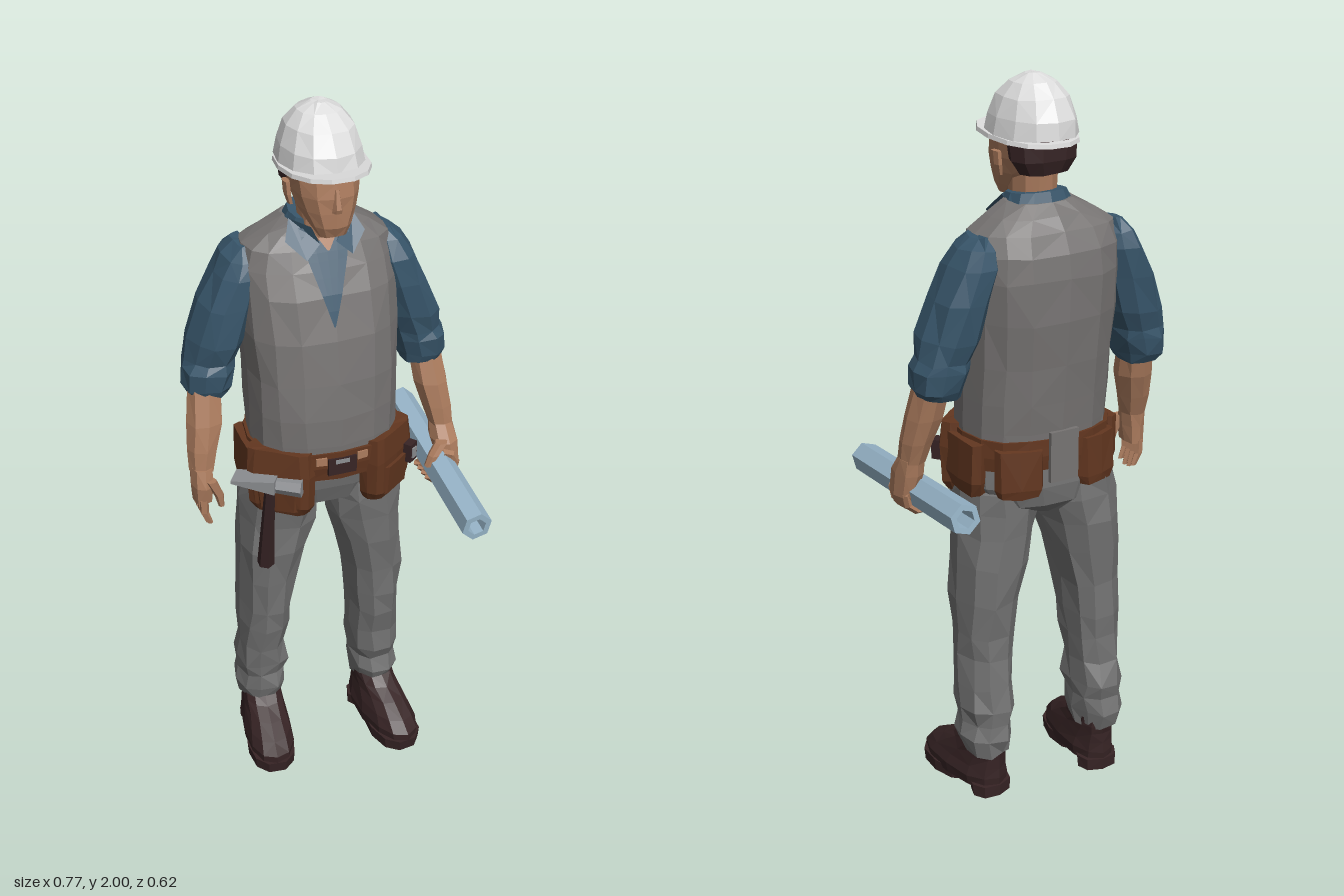
import * as THREE from 'three';

const mat = (name, color) => Object.assign(new THREE.MeshStandardMaterial({ color }), { name });
const M = {
  skin: mat('skin', 0xac7c5e), shirt: mat('blueShirt', 0x38566b), vest: mat('greyVest', 0x777473),
  pants: mat('greyTrousers', 0x737373), leather: mat('brownLeather', 0x633720), dark: mat('darkBrown', 0x372425),
  helmet: mat('whitePlastic', 0xdddddd), paper: mat('bluePaper', 0x98b6ca), metal: mat('steel', 0x8d8f92),
};
M.shirt.side = THREE.DoubleSide;
M.skin.side = THREE.DoubleSide;

let seed = 7;
const rand = () => ((seed = (seed * 16807) % 2147483647) / 2147483647) - 0.5;

// Facet a geometry and add it as a named mesh
function add(parent, name, geo, material, pos = [0, 0, 0], rot = [0, 0, 0]) {
  const g = geo.index ? geo.toNonIndexed() : geo;
  g.computeVertexNormals();
  const mesh = new THREE.Mesh(g, material);
  mesh.name = name;
  mesh.position.set(...pos);
  mesh.rotation.set(...rot);
  parent.add(mesh);
  return mesh;
}

// Stack of level rings [y, centreX, radiusX, backZ, frontZ, tilt], closed at both ends
function loft(rings, { n = 10, e = 0.85, jitter = 0.006, s = 1, dz = 0 } = {}) {
  const rs = [...rings].sort((a, b) => a[0] - b[0]);
  const pos = [], idx = [];
  const pw = (v) => Math.sign(v) * Math.abs(v) ** e;
  for (const [y, cx, rx, zb, zf, tilt = 0] of rs) {
    for (let i = 0; i < n; i++) {
      const a = (i / n) * Math.PI * 2;
      const z = pw(Math.sin(a)) * (zf - zb) / 2;
      pos.push(s * cx + pw(Math.cos(a)) * rx + rand() * jitter,
        y + z * tilt + (y > 0.01 ? rand() * jitter : 0), (zb + zf) / 2 + dz + z + rand() * jitter);
    }
  }
  for (let r = 0; r < rs.length - 1; r++) {
    for (let i = 0; i < n; i++) {
      const a = r * n + i, b = r * n + (i + 1) % n;
      if ((r + i) % 2) idx.push(a, a + n, b + n, a, b + n, b);
      else idx.push(a, a + n, b, a + n, b + n, b);
    }
  }
  const top = (rs.length - 1) * n, c = rs.length * n;
  for (const r of [rs[0], rs[rs.length - 1]]) pos.push(s * r[1], r[0], (r[3] + r[4]) / 2 + dz);
  for (let i = 0; i < n; i++) {
    const j = (i + 1) % n;
    idx.push(c, i, j, c + 1, top + j, top + i);
  }
  const g = new THREE.BufferGeometry();
  g.setAttribute('position', new THREE.Float32BufferAttribute(pos, 3));
  g.setIndex(idx);
  return g;
}

const TORSO = [
  [0.99, 0, 0.2, -0.225, 0.085], [1.1, 0, 0.203, -0.235, 0.093], [1.18, 0, 0.204, -0.242, 0.094],
  [1.28, 0, 0.205, -0.252, 0.086], [1.4, 0, 0.211, -0.262, 0.07], [1.51, 0, 0.212, -0.265, 0.038],
  [1.575, 0, 0.211, -0.255, 0.008], [1.625, 0, 0.198, -0.232, -0.015], [1.66, 0, 0.145, -0.205, -0.032],
  [1.69, 0, 0.09, -0.175, -0.042],
];
const TORSO_E = 0.78;

// Depth of the chest surface at a point
function chestZ(x, y) {
  let k = 0;
  while (k < TORSO.length - 2 && TORSO[k + 1][0] < y) k++;
  const A = TORSO[k], B = TORSO[k + 1], t = Math.min(1, (y - A[0]) / (B[0] - A[0]));
  const [, , rx, zb, zf] = A.map((v, i) => v + (B[i] - v) * t);
  const u = Math.min(1, Math.abs(x / rx));
  return (zb + zf) / 2 + (zf - zb) / 2 * (1 - u ** (2 / TORSO_E)) ** (TORSO_E / 2);
}

// Thin cloth patch lying on the chest; rows [y, x0, x1] run downwards
function patch(rows, lift) {
  const pos = [], idx = [], cols = 4, sub = 4, all = [];
  for (let r = 0; r < rows.length - 1; r++) {
    for (let k = r ? 1 : 0; k <= sub; k++) all.push(rows[r].map((v, i) => v + (rows[r + 1][i] - v) * k / sub));
  }
  all.forEach(([y, x0, x1], r) => {
    for (let c = 0; c <= cols; c++) {
      const x = x0 + (x1 - x0) * c / cols;
      pos.push(x, y, chestZ(x, y) + lift);
      if (r && c) {
        const d = r * (cols + 1) + c, u = d - cols - 1;
        idx.push(u - 1, d - 1, d, u - 1, d, u);
      }
    }
  });
  const g = new THREE.BufferGeometry();
  g.setAttribute('position', new THREE.Float32BufferAttribute(pos, 3));
  g.setIndex(idx);
  return g;
}

const box = (x, y, z) => new THREE.BoxGeometry(x, y, z);

function buildHead(g) {
  add(g, 'neck', loft([[1.6, 0, 0.065, -0.15, -0.03], [1.68, 0, 0.057, -0.145, -0.015], [1.78, 0, 0.06, -0.15, -0.01]]), M.skin);
  add(g, 'head', loft([
    [1.682, 0, 0.036, -0.01, 0.042], [1.71, 0, 0.055, -0.07, 0.056], [1.75, 0, 0.074, -0.13, 0.057],
    [1.79, 0, 0.084, -0.165, 0.058], [1.83, 0, 0.089, -0.175, 0.052], [1.87, 0, 0.088, -0.175, 0.04],
  ], { n: 12, jitter: 0.003 }), M.skin);
  add(g, 'nose', loft([[1.755, 0, 0.014, 0.04, 0.068], [1.766, 0, 0.012, 0.04, 0.072], [1.815, 0, 0.007, 0.04, 0.058]], { n: 6, jitter: 0 }), M.skin);
  add(g, 'hair', loft([[1.76, 0, 0.066, -0.175, -0.085], [1.795, 0, 0.091, -0.188, -0.065], [1.845, 0, 0.094, -0.19, -0.05]], { jitter: 0.003 }), M.dark);
  for (const s of [1, -1]) {
    add(g, 'ear', loft([[1.748, 0.084, 0.007, -0.07, -0.045], [1.775, 0.091, 0.009, -0.078, -0.04], [1.81, 0.094, 0.009, -0.078, -0.04]], { n: 6, s, jitter: 0 }), M.skin);
  }
  // Hard hat
  add(g, 'helmetDome', loft([
    [1.85, 0, 0.109, -0.208, 0.062], [1.895, 0, 0.102, -0.202, 0.052], [1.945, 0, 0.084, -0.178, 0.022],
    [1.98, 0, 0.056, -0.143, -0.02], [1.999, 0, 0.02, -0.1, -0.055],
  ], { n: 12, e: 0.9, jitter: 0.004 }), M.helmet);
  add(g, 'helmetBrim', loft([[1.842, 0, 0.116, -0.213, 0.102, 0.06], [1.853, 0, 0.114, -0.211, 0.1, 0.06]], { n: 14, e: 0.9, jitter: 0 }), M.helmet);
}

function buildTorso(g) {
  add(g, 'vest', loft(TORSO, { n: 16, e: TORSO_E, jitter: 0.006 }), M.vest);
  add(g, 'shirtFront', patch([[1.68, -0.07, 0.07], [1.6, -0.055, 0.048], [1.44, -0.01, -0.006]], 0.005), M.shirt);
  add(g, 'openNeck', patch([[1.688, -0.045, 0.045], [1.625, -0.003, 0.003]], 0.01), M.skin);
  add(g, 'shirtCollar', loft([[1.65, 0, 0.105, -0.188, -0.032], [1.708, 0, 0.076, -0.166, -0.03, -0.1]], { n: 12, jitter: 0.002 }), M.shirt);
  for (const s of [1, -1]) {
    const pts = [[0.085, 1.7, -0.07], [0.042, 1.69, -0.018], [0.022, 1.645, -0.008], [0.062, 1.61, 0.006], [0.108, 1.655, -0.03]];
    const flap = new THREE.BufferGeometry();
    flap.setAttribute('position', new THREE.Float32BufferAttribute(pts.flatMap(([x, y, z]) => [s * x, y, z]), 3));
    flap.setIndex(s > 0 ? [0, 1, 2, 0, 2, 3, 0, 3, 4] : [0, 2, 1, 0, 3, 2, 0, 4, 3]);
    add(g, 'collarFlap', flap, M.shirt);
  }
}

// The right arm hangs a little further back than the left
function buildArm(g, s) {
  add(g, 'sleeve', loft([
    [1.625, 0.19, 0.02, -0.175, -0.08], [1.595, 0.197, 0.045, -0.205, -0.05], [1.55, 0.207, 0.062, -0.218, -0.03],
    [1.47, 0.24, 0.072, -0.22, -0.022], [1.37, 0.27, 0.075, -0.212, -0.025], [1.315, 0.288, 0.067, -0.2, -0.035],
    [1.29, 0.296, 0.073, -0.2, -0.03], [1.24, 0.305, 0.066, -0.19, -0.037], [1.215, 0.302, 0.054, -0.175, -0.045],
  ], { s, jitter: 0.009, dz: s < 0 ? -0.018 : 0 }), M.shirt);
  add(g, 'forearm', loft([
    [1.25, 0.313, 0.046, -0.15, -0.055], [1.15, 0.325, 0.049, -0.13, -0.025], [1.08, 0.338, 0.041, -0.105, -0.015],
    [1.02, 0.347, 0.033, -0.085, -0.008],
  ], { n: 8, s, jitter: 0.004, dz: s < 0 ? -0.008 : 0 }), M.skin);
}

function buildHands(g) {
  // Relaxed hand
  add(g, 'rightPalm', loft([[1.03, 0.347, 0.031, -0.09, -0.012], [0.98, 0.352, 0.03, -0.09, 0], [0.93, 0.352, 0.024, -0.088, -0.005]], { n: 8, s: -1, jitter: 0.003 }), M.skin);
  for (let i = 0; i < 4; i++) {
    const z = -0.078 + i * 0.021, tip = 0.85 + Math.abs(i - 1.6) * 0.01;
    add(g, 'finger', loft([[0.94, 0.355, 0.013, z - 0.011, z + 0.011], [0.9, 0.355, 0.012, z - 0.01, z + 0.01], [tip, 0.34, 0.008, z - 0.007, z + 0.007]], { n: 5, s: -1, jitter: 0 }), M.skin);
  }
  add(g, 'rightThumb', loft([[1.0, 0.335, 0.016, -0.03, 0.005], [0.95, 0.313, 0.013, -0.025, 0.002], [0.915, 0.308, 0.008, -0.018, -0.002]], { n: 6, s: -1, jitter: 0 }), M.skin);
  // Hand closed round the roll
  add(g, 'leftPalm', loft([[1.03, 0.347, 0.033, -0.085, -0.008], [0.985, 0.348, 0.037, -0.08, 0.025], [0.92, 0.357, 0.028, -0.065, 0.035], [0.885, 0.347, 0.025, -0.055, 0.035]], { n: 8, jitter: 0.003 }), M.skin);
  for (let i = 0; i < 4; i++) {
    add(g, 'curledFinger', new THREE.TorusGeometry(0.044, 0.013, 5, 6, 4.1), M.skin, [0.322, 0.92, -0.05 + i * 0.026], [0, 0, -2.6]);
  }
  add(g, 'leftThumb', loft([[0.995, 0.325, 0.018, 0, 0.035], [0.965, 0.298, 0.016, 0.012, 0.045], [0.935, 0.28, 0.01, 0.02, 0.045]], { n: 6, jitter: 0 }), M.skin);
}

// The left leg stands a little in front of the right
function buildLeg(g, s) {
  add(g, 'trouserLeg', loft([
    [0.93, 0.108, 0.108, -0.21, 0.034], [0.87, 0.113, 0.111, -0.215, 0.032], [0.8, 0.122, 0.104, -0.215, 0.028],
    [0.71, 0.138, 0.094, -0.212, 0.022], [0.6, 0.153, 0.081, -0.206, 0.012], [0.5, 0.161, 0.073, -0.202, 0.002],
    [0.43, 0.165, 0.073, -0.202, -0.008], [0.35, 0.168, 0.07, -0.206, -0.022], [0.28, 0.17, 0.075, -0.218, -0.026],
    [0.24, 0.171, 0.067, -0.213, -0.038], [0.19, 0.174, 0.074, -0.222, -0.034], [0.14, 0.173, 0.061, -0.208, -0.052],
  ], { s, jitter: 0.013, dz: s * 0.016 }), M.pants);
  // Boot with split heel and sole, toe turned slightly out
  const boot = new THREE.Group();
  boot.name = 'boot';
  boot.position.set(s * 0.175, 0, -0.082 + s * 0.021);
  boot.rotation.y = s * 0.12;
  g.add(boot);
  add(boot, 'bootUpper', loft([
    [0.022, 0, 0.067, -0.115, 0.2], [0.055, 0, 0.071, -0.118, 0.2], [0.085, 0, 0.065, -0.114, 0.17],
    [0.115, 0, 0.058, -0.115, 0.115], [0.14, 0, 0.057, -0.117, 0.065], [0.165, 0, 0.057, -0.115, 0.035],
  ], { n: 12, jitter: 0.004 }), M.dark);
  add(boot, 'bootSole', loft([[0, 0, 0.067, 0.0, 0.2], [0.035, 0, 0.07, -0.01, 0.205]], { jitter: 0 }), M.dark);
  add(boot, 'bootHeel', loft([[0, 0, 0.058, -0.118, -0.03], [0.035, 0, 0.06, -0.12, -0.02]], { n: 8, jitter: 0 }), M.dark);
}

function buildBelt(g) {
  add(g, 'belt', loft([[0.995, 0, 0.209, -0.234, 0.09], [1.035, 0, 0.212, -0.24, 0.097], [1.08, 0, 0.21, -0.241, 0.098]], { n: 16, e: TORSO_E, jitter: 0.004 }), M.leather);
  add(g, 'buckle', box(0.08, 0.05, 0.012), M.dark, [0, 1.04, 0.095]);
  add(g, 'buckleBar', box(0.04, 0.012, 0.006), M.metal, [0, 1.055, 0.1]);
  add(g, 'vestTail', box(0.085, 0.14, 0.012), M.vest, [0, 1.03, -0.24]);
  for (const s of [1, -1]) {
    add(g, 'beltTab', box(0.03, 0.022, 0.008), M.skin, [s * 0.058, 1.06, 0.094], [0, s * 0.15, 0]);
    const pouch = new THREE.Group();
    pouch.name = 'toolPouch';
    pouch.position.set(s * 0.153, 0, 0.034);
    pouch.rotation.y = s * 0.65;
    g.add(pouch);
    add(pouch, 'pouchBag', loft([[0.893, 0, 0.076, -0.04, 0.018], [0.92, 0, 0.09, -0.045, 0.03], [1.02, 0, 0.094, -0.045, 0.034], [1.09, 0, 0.088, -0.045, 0.03]], { n: 12, e: 0.5, jitter: 0.005 }), M.leather);
    add(pouch, 'pouchPocket', loft([[0.91, 0, 0.055, 0.015, 0.034], [1.0, 0, 0.062, 0.015, 0.043]], { n: 8, e: 0.5, jitter: 0.003 }), M.leather);
    add(g, 'sidePouch', loft([[0.92, 0.197, 0.025, -0.15, -0.01], [0.96, 0.203, 0.026, -0.165, 0], [1.07, 0.202, 0.024, -0.165, 0]], { n: 8, e: 0.5, s }), M.leather);
    // Rear pouch follows the curve of the back
    add(g, 'backPouch', loft([[0.925, 0, 0.055, -0.02, 0.03], [0.95, 0, 0.063, -0.024, 0.03], [1.06, 0, 0.063, -0.022, 0.03]], { n: 8, e: 0.5 }), M.leather, [s * 0.118, 0, -0.212], [0, s * -0.3, 0]);
  }
  add(g, 'tapeMeasure', box(0.035, 0.055, 0.03), M.dark, [0.22, 1.0, 0.035], [0, 0.65, 0]);
  add(g, 'tapeLabel', box(0.02, 0.03, 0.008), M.metal, [0.229, 1.0, 0.047], [0, 0.65, 0]);
  // Hammer hanging from the belt, handle leaning back against the thigh
  const head = new THREE.Group();
  head.name = 'hammerHead';
  head.position.set(-0.192, 1.005, 0.058);
  head.rotation.y = -0.58;
  g.add(head);
  const claw = box(0.12, 0.04, 0.062);
  const p = claw.attributes.position;
  for (let i = 0; i < p.count; i++) if (p.getX(i) < 0) p.setY(i, p.getY(i) * 0.2 + 0.004);
  add(head, 'hammerClaw', claw, M.metal, [-0.04, 0, 0]);
  add(head, 'hammerFace', new THREE.CylinderGeometry(0.026, 0.022, 0.075, 6), M.metal, [0.052, -0.006, 0], [0, 0, -Math.PI / 2]);
  add(g, 'hammerHandle', new THREE.CylinderGeometry(0.014, 0.024, 0.29, 6), M.dark, [-0.193, 0.85, 0.036], [0.18, 0, 0]);
}

function buildRoll(g) {
  const hex = (r, C) => new C(Array.from({ length: 6 }, (_, i) => new THREE.Vector2(r * Math.cos(i * Math.PI / 3 + 0.3), r * Math.sin(i * Math.PI / 3 + 0.3))));
  const shape = hex(0.043, THREE.Shape);
  shape.holes.push(hex(0.026, THREE.Path));
  const roll = add(g, 'paperRoll', new THREE.ExtrudeGeometry(shape, { depth: 0.61, bevelEnabled: false }), M.paper, [0.333, 0.95, -0.305]);
  roll.lookAt(0.308, 0.896, 0.305);
}

export function createModel() {
  const g = new THREE.Group();
  g.name = 'builder';
  buildHead(g);
  buildTorso(g);
  add(g, 'trouserHips', loft([[0.85, 0, 0.05, -0.19, -0.02], [0.885, 0, 0.16, -0.222, 0.032], [0.94, 0, 0.206, -0.23, 0.052], [1.03, 0, 0.2, -0.225, 0.07]], { n: 14, jitter: 0.004 }), M.pants);
  for (const s of [1, -1]) {
    buildArm(g, s);
    buildLeg(g, s);
  }
  buildHands(g);
  buildBelt(g);
  buildRoll(g);
  return g;
}
